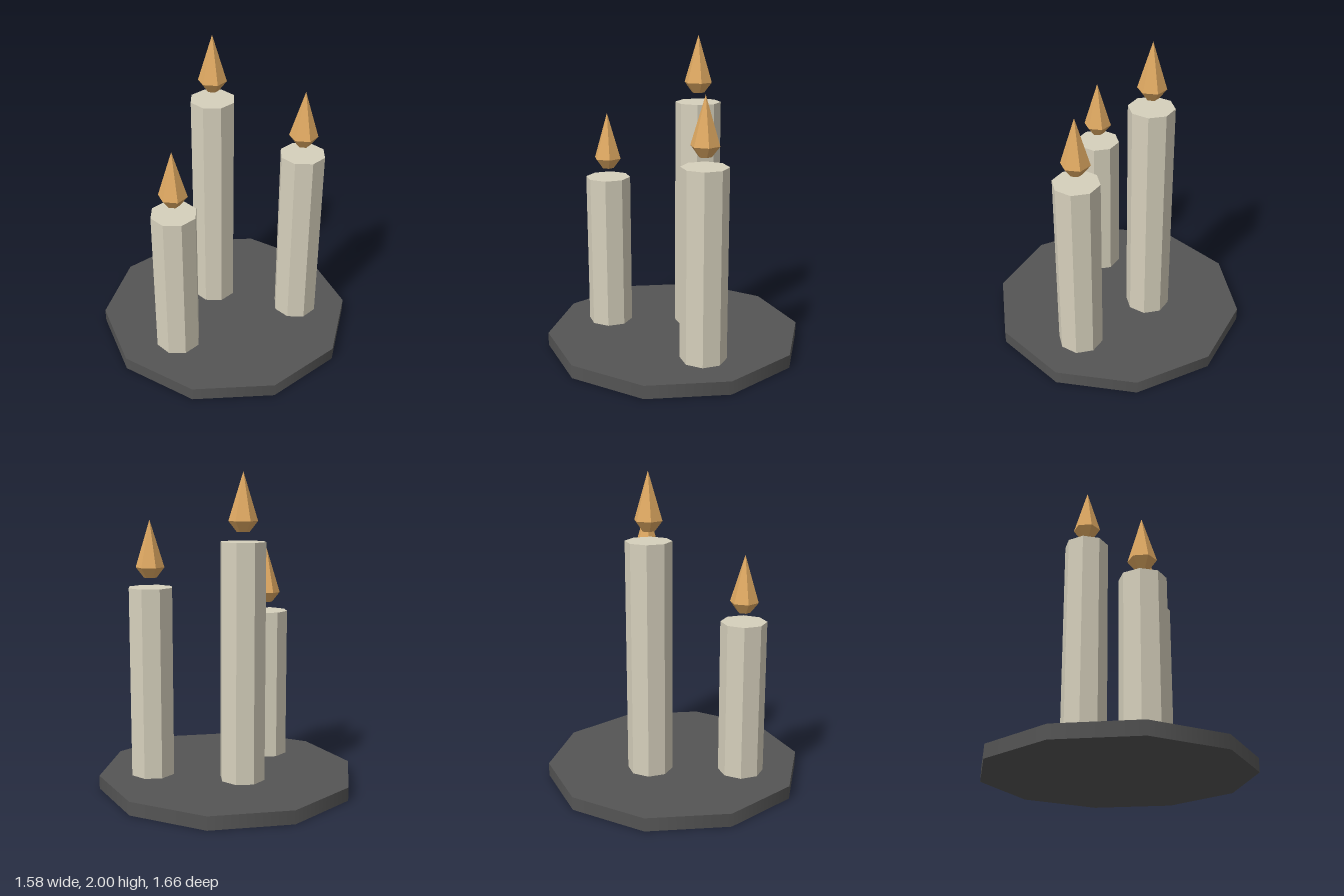
import * as THREE from 'three';

const stone = new THREE.MeshStandardMaterial({ color: 0x555555 });
stone.name = 'dark grey plate';
const wax = new THREE.MeshStandardMaterial({ color: 0xd6d0bc, flatShading: true });
wax.name = 'cream wax';
const fire = new THREE.MeshStandardMaterial({ color: 0xdfa962, flatShading: true });
fire.name = 'amber flame';

const PLATE_HEIGHT = 0.085;

// Flame profile: small flat foot, wide belly, pointed tip
const flameProfile = [[0, 0], [0.04, 0], [0.09, 0.065], [0, 0.36]]
  .map(([r, y]) => new THREE.Vector2(r, y));

function addMesh(parent, name, geometry, material, y) {
  const mesh = new THREE.Mesh(geometry, material);
  mesh.name = name;
  mesh.position.y = y;
  parent.add(mesh);
  return mesh;
}

// Eight-sided wax column with a six-sided flame floating above it
function createCandle(name, x, z, top) {
  const candle = new THREE.Group();
  candle.name = name;
  candle.position.set(x, 0, z);
  const height = top - PLATE_HEIGHT;
  addMesh(candle, 'waxColumn', new THREE.CylinderGeometry(0.145, 0.145, height, 8), wax, PLATE_HEIGHT + height / 2);
  addMesh(candle, 'flame', new THREE.LatheGeometry(flameProfile, 6), fire, top + 0.06);
  return candle;
}

export function createModel() {
  const model = new THREE.Group();
  model.name = 'candlePlate';

  // Ten-sided plate
  addMesh(model, 'plate', new THREE.CylinderGeometry(0.83, 0.83, PLATE_HEIGHT, 10), stone, PLATE_HEIGHT / 2);

  // Three candles of different heights
  model.add(
    createCandle('tallCandle', 0, -0.207, 1.58),
    createCandle('mediumCandle', 0.455, 0.166, 1.29),
    createCandle('shortCandle', -0.415, 0.207, 1.082),
  );
  return model;
}
